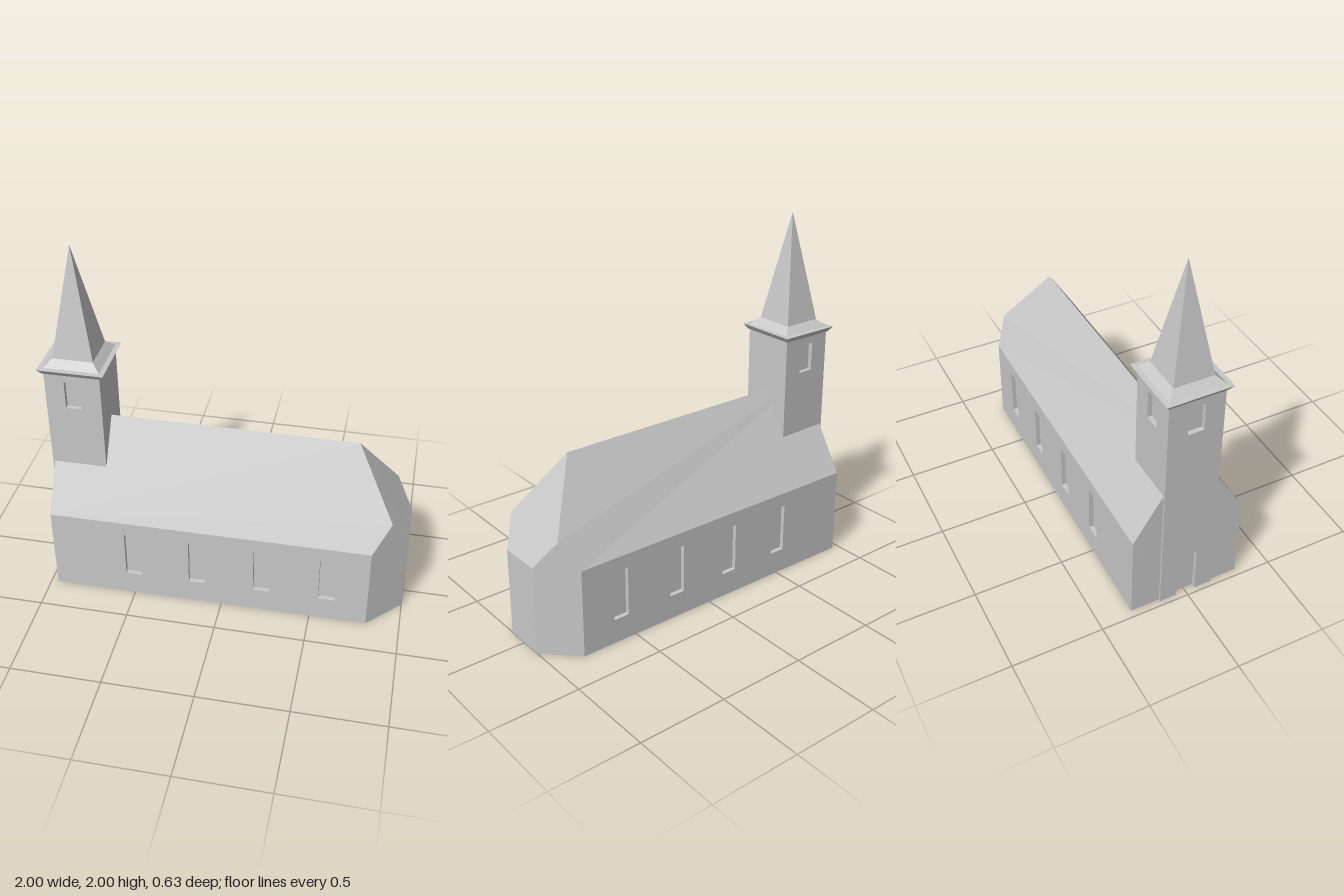
import * as THREE from 'three';

const RECESS = 0.025;
const stone = new THREE.MeshStandardMaterial({ color: 0xc8c8c8 });
stone.name = 'pale grey stone';

function mesh(name, geometry) {
  const m = new THREE.Mesh(geometry, stone);
  m.name = name;
  return m;
}

// Flat face from corner points, counter-clockwise seen from outside
function face(name, corners) {
  const pos = [];
  for (let i = 1; i < corners.length - 1; i++) pos.push(...corners[0], ...corners[i], ...corners[i + 1]);
  const g = new THREE.BufferGeometry();
  g.setAttribute('position', new THREE.Float32BufferAttribute(pos, 3));
  g.computeVertexNormals();
  return mesh(name, g);
}

// Wall from plan point a to b (outside on the right-hand side), with recessed openings.
// An opening is [centre along wall, bottom, width, height]; a door starts at the ground.
function wall(name, a, b, height, windows = [], door = null) {
  const group = new THREE.Group();
  group.name = name;
  const length = Math.hypot(b[0] - a[0], b[1] - a[1]);
  const outline = [[0, 0]];
  if (door) {
    const [u, , w, h] = door;
    outline.push([u - w / 2, 0], [u - w / 2, h], [u + w / 2, h], [u + w / 2, 0]);
  }
  outline.push([length, 0], [length, height], [0, height]);
  const shape = new THREE.Shape(outline.map(p => new THREE.Vector2(...p)));
  for (const [u, v, w, h] of windows) {
    shape.holes.push(new THREE.Path([
      [u - w / 2, v], [u - w / 2, v + h], [u + w / 2, v + h], [u + w / 2, v],
    ].map(p => new THREE.Vector2(...p))));
  }
  const slab = new THREE.ExtrudeGeometry(shape, { depth: RECESS, bevelEnabled: false });
  group.add(mesh(name + 'Slab', slab.translate(0, 0, -RECESS)));
  // Panes at the back of the openings
  for (const o of door ? [...windows, door] : windows) {
    const pane = mesh(o === door ? 'door' : 'windowPane', new THREE.PlaneGeometry(o[2], o[3]));
    pane.position.set(o[0], o[1] + o[3] / 2, -RECESS);
    group.add(pane);
  }
  group.position.set(a[0], 0, a[1]);
  group.rotation.y = -Math.atan2(b[1] - a[1], b[0] - a[0]);
  return group;
}

function buildNave() {
  const nave = new THREE.Group();
  nave.name = 'nave';
  const W = -0.96, EAVE = 0.5;
  const windowX = [-0.5, -0.138, 0.226, 0.59];
  const ridgeW = [W, 1, 0], ridgeE = [0.69, 1, 0];
  const peaks = [];

  // Each side: long wall, roof slope, chamfered apse wall and half gable
  const sides = [
    { s: 1, label: 'front', zw: 0.312, xe: 0.815, ze: 0.305 },
    { s: -1, label: 'back', zw: 0.315, xe: 0.825, ze: 0.295 },
  ];
  for (const { s, label, zw, xe, ze } of sides) {
    const west = [W, s * zw], east = [xe, s * ze];
    const [a, b] = s > 0 ? [west, east] : [east, west];
    const windows = windowX.map(x => [Math.abs(x - a[0]), 0.14, 0.09, 0.28]);
    nave.add(wall(label + 'Wall', a, b, EAVE, windows));

    const peak = [0.906, 0.65, s * 0.215];
    peaks.push(peak);
    const turn = pts => (s > 0 ? pts : pts.reverse());
    const eaveW = [W, EAVE, s * zw], eaveE = [xe, EAVE, s * ze];
    nave.add(face(label + 'Roof', turn([eaveW, eaveE, peak, ridgeE, ridgeW])));
    nave.add(face(label + 'ApseWall', turn([
      [xe, 0, s * ze], [1, 0, s * 0.12], [1, EAVE, s * 0.12], peak, eaveE,
    ])));
    const z = 0.14;
    nave.add(face(label + 'Gable', turn([
      [W, 0, s * z], [W, 0, s * zw], eaveW, [W, 1 - (z / zw) * 0.5, s * z],
    ])));
  }

  // Apse end
  nave.add(face('apseEndWall', [[1, 0, 0.12], [1, 0, -0.12], [1, EAVE, -0.12], [1, EAVE, 0.12]]));
  nave.add(face('apseRoof', [[1, EAVE, 0.12], [1, EAVE, -0.12], peaks[1], ridgeE, peaks[0]]));

  // Underside with the tower foot and door notch
  const plan = [
    [W, 0.312], [0.815, 0.305], [1, 0.12], [1, -0.12], [0.825, -0.295], [W, -0.315],
    [W, -0.15], [-0.972, -0.15], [-0.972, -0.055], [-0.947, -0.055],
    [-0.947, 0.055], [-0.972, 0.055], [-0.972, 0.15], [W, 0.15],
  ];
  const floor = new THREE.ShapeGeometry(new THREE.Shape(plan.map(p => new THREE.Vector2(...p))));
  nave.add(mesh('floor', floor.rotateX(Math.PI / 2)));
  return nave;
}

function buildTower() {
  const tower = new THREE.Group();
  tower.name = 'tower';
  const cx = -0.82, r = 0.152, top = 1.33;
  const x0 = cx - r, x1 = cx + r;
  const belfry = [[r, 1.12, 0.09, 0.16]];
  tower.add(wall('towerFront', [x0, r], [x1, r], top, belfry));
  tower.add(wall('towerBack', [x1, -r], [x0, -r], top, belfry));
  tower.add(wall('towerWest', [x0, -r], [x0, r], top, belfry, [r, 0, 0.11, 0.28]));
  tower.add(wall('towerEast', [x1, r], [x1, -r], top));

  // Square cornice and flared spire, as half-width and height
  const square = (name, profile) => {
    const points = profile.map(([w, y]) => new THREE.Vector2(w * Math.SQRT2, y));
    const g = new THREE.LatheGeometry(points, 4, Math.PI / 4).toNonIndexed();
    g.computeVertexNormals();
    const m = mesh(name, g);
    m.position.x = cx;
    tower.add(m);
  };
  square('cornice', [[0.14, 1.325], [0.158, 1.325], [0.179, 1.355], [0.14, 1.357]]);
  square('spire', [[0.152, 1.356], [0.11, 1.395], [0, 2]]);
  return tower;
}

export function createModel() {
  const church = new THREE.Group();
  church.name = 'church';
  church.add(buildNave(), buildTower());
  return church;
}
